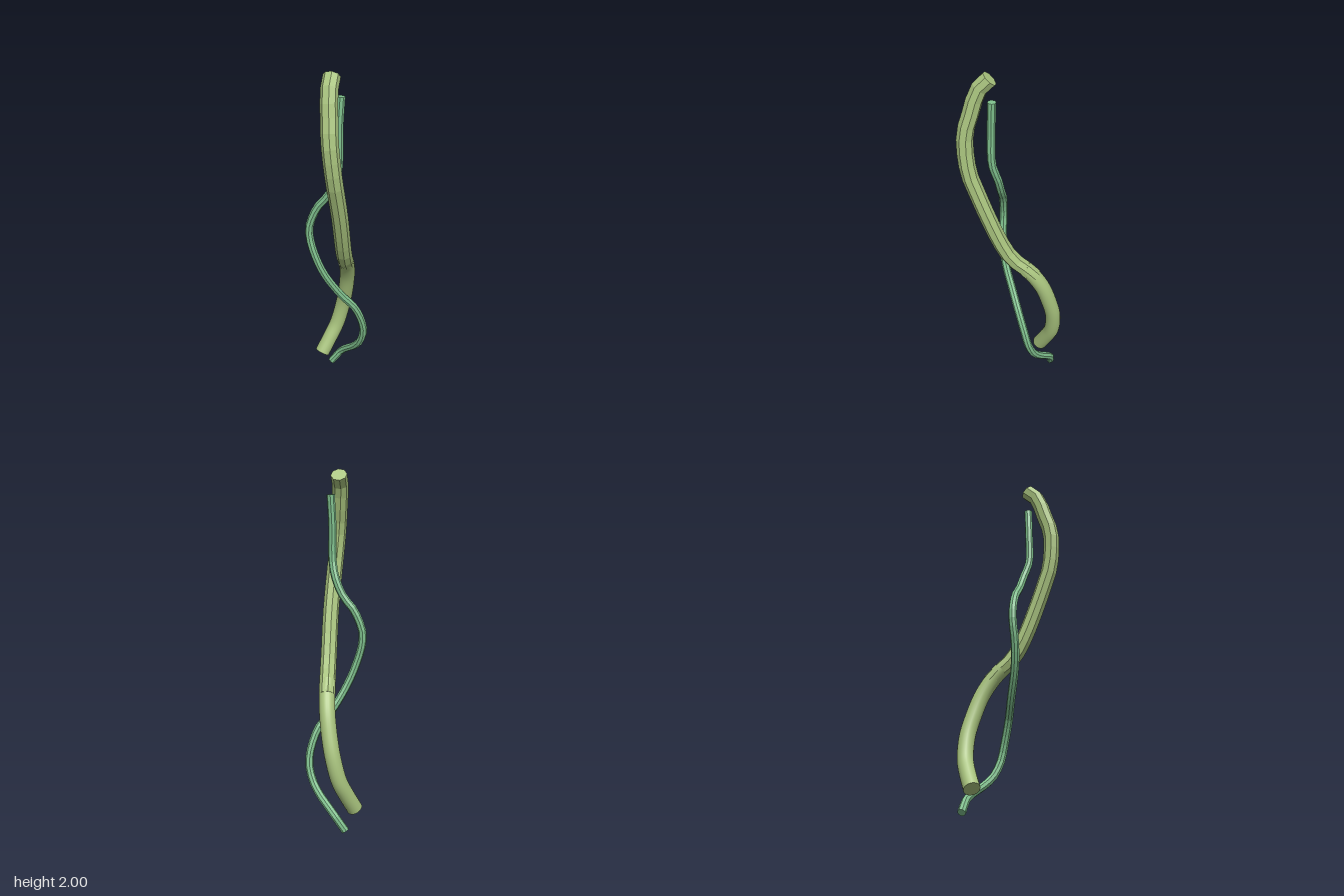
import * as THREE from 'three';

// Capped tube through a list of [x, y, z] centreline points
function makeVine(name, points, radius, segments, sides, color, flat) {
  const curve = new THREE.CatmullRomCurve3(points.map(p => new THREE.Vector3(...p)));
  const tube = new THREE.TubeGeometry(curve, segments, radius, sides, false);
  const material = new THREE.MeshStandardMaterial({ color, flatShading: flat });
  const group = new THREE.Group();
  group.name = name;

  const stem = new THREE.Mesh(tube, material);
  stem.name = name + 'Stem';
  group.add(stem);

  // Flat caps fanned over the first and last rings
  const ring = tube.attributes.position;
  const capCorners = [];
  for (const end of [0, 1]) {
    const centre = curve.getPointAt(end);
    const start = end * segments * (sides + 1);
    for (let j = 0; j < sides; j++) {
      const a = new THREE.Vector3().fromBufferAttribute(ring, start + j);
      const b = new THREE.Vector3().fromBufferAttribute(ring, start + j + 1);
      capCorners.push(centre, ...(end ? [b, a] : [a, b]));
    }
  }
  const capGeometry = new THREE.BufferGeometry().setFromPoints(capCorners);
  capGeometry.computeVertexNormals();
  const caps = new THREE.Mesh(capGeometry, material);
  caps.name = name + 'Ends';
  group.add(caps);
  return group;
}

export function createModel() {
  const model = new THREE.Group();
  model.name = 'twistedVines';
  const paleGreen = 0xa9c47e, leafGreen = 0x7fc08d;

  // Thick vine, faceted upper length
  model.add(makeVine('upperThickVine', [
    [-0.085, 1.973, 0.092], [-0.128, 1.91, 0.133], [-0.148, 1.8, 0.163],
    [-0.167, 1.66, 0.198], [-0.143, 1.45, 0.2], [-0.123, 1.38, 0.187],
    [-0.07, 1.2, 0.146], [-0.012, 1.0, 0.088], [0.028, 0.9, 0.045],
    [0.085, 0.82, -0.02], [0.112, 0.775, -0.052],
  ], 0.046, 18, 8, paleGreen, true));

  // Thick vine, smooth lower length
  model.add(makeVine('lowerThickVine', [
    [0.07, 0.84, -0.005], [0.107, 0.78, -0.045], [0.14, 0.69, -0.09],
    [0.157, 0.58, -0.128], [0.16, 0.45, -0.165], [0.132, 0.31, -0.187],
    [0.085, 0.22, -0.193], [0.026, 0.125, -0.195],
  ], 0.045, 32, 20, paleGreen, false));

  // Thin vine winding around the thick one
  model.add(makeVine('thinVine', [
    [-0.045, 1.865, 0.115], [-0.055, 1.7, 0.113], [-0.055, 1.5, 0.111],
    [-0.05, 1.4, 0.077], [-0.072, 1.3, 0.035], [-0.112, 1.22, -0.015],
    [-0.145, 1.1, -0.048], [-0.145, 1.03, -0.046], [-0.128, 0.93, -0.025],
    [-0.08, 0.8, 0.0], [0.015, 0.65, 0.027], [0.095, 0.55, 0.054],
    [0.152, 0.42, 0.056], [0.167, 0.34, 0.044], [0.168, 0.25, 0.0],
    [0.164, 0.19, -0.06], [0.157, 0.145, -0.12], [0.148, 0.105, -0.165],
    [0.107, 0.018, -0.212],
  ], 0.023, 44, 8, leafGreen, true));

  return model;
}
